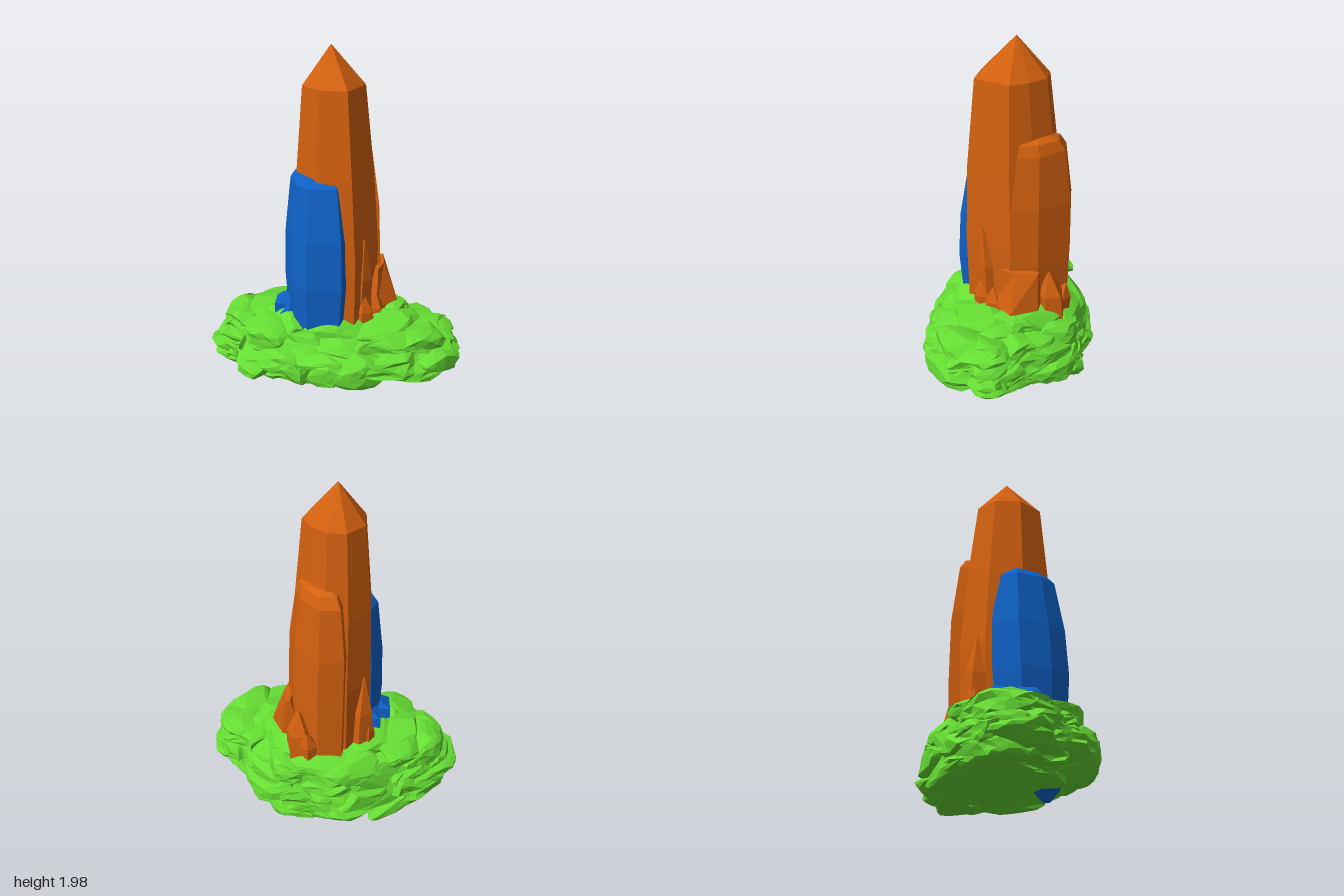
import * as THREE from 'three';

const material = (color) => new THREE.MeshStandardMaterial({ color, flatShading: true });
const orange = material(0xd2600f), blue = material(0x0f62c8), green = material(0x66dd33);

// Small seeded generator
let seed = 11;
const rand = () => {
  seed = (seed * 16807) % 2147483647;
  return seed / 2147483647;
};
const spread = (a) => (rand() * 2 - 1) * a;

// Skins closed loops from bottom to top and caps both ends
function loft(name, loops, mat) {
  const pos = [];
  const tri = (...pts) => pts.forEach((p) => pos.push(p.x, p.y, p.z));
  const centre = (loop) => loop.reduce((s, p) => s.add(p), new THREE.Vector3()).divideScalar(loop.length);
  const n = loops[0].length, last = loops[loops.length - 1];
  const c0 = centre(loops[0]), c1 = centre(last);
  for (let i = 0; i < n; i++) {
    const j = (i + 1) % n;
    for (let k = 0; k < loops.length - 1; k++) {
      const lo = loops[k], up = loops[k + 1];
      tri(lo[i], up[i], lo[j]);
      tri(lo[j], up[i], up[j]);
    }
    tri(c0, loops[0][i], loops[0][j]);
    tri(c1, last[j], last[i]);
  }
  const geo = new THREE.BufferGeometry();
  geo.setAttribute('position', new THREE.Float32BufferAttribute(pos, 3));
  geo.computeVertexNormals();
  const mesh = new THREE.Mesh(geo, mat);
  mesh.name = name;
  return mesh;
}

// Crystal: a polygon of [x, z] scaled about a centre; levels are [y, scale, dx, dz, zScale]
function crystal(name, mat, poly, [cx, cz], levels) {
  const loops = levels.map(([y, s, dx = 0, dz = 0, sz = s]) => poly.map(([x, z]) =>
    new THREE.Vector3(cx + dx + (x - cx) * s, y, cz + dz + (z - cz) * sz)));
  return loft(name, loops, mat);
}

// Small pointed splinter with a leaning tip
function shard(mat, x, z, r, top, tipX, tipZ) {
  const poly = Array.from({ length: 5 }, (_, i) => {
    const a = (i / 5) * Math.PI * 2 + x * 9;
    return [x + r * Math.cos(a), z + r * Math.sin(a)];
  });
  const mid = 0.4 + (top - 0.4) * 0.55;
  return crystal('shard', mat, poly, [x, z], [
    [0.38, 1], [mid, 0.85, (tipX - x) * 0.4, (tipZ - z) * 0.4], [top, 0.08, tipX - x, tipZ - z]]);
}

// Flattened boulder cut by random planes
function stone(size) {
  const geo = new THREE.IcosahedronGeometry(1, 2);
  const cuts = Array.from({ length: 10 }, () => ({
    d: new THREE.Vector3(spread(1), spread(1), spread(1)).normalize(), c: 0.48 + rand() * 0.32 }));
  const p = geo.attributes.position, v = new THREE.Vector3();
  for (let i = 0; i < p.count; i++) {
    v.fromBufferAttribute(p, i);
    for (const { d, c } of cuts) {
      const over = v.dot(d) - c;
      if (over > 0) v.addScaledVector(d, -over);
    }
    p.setXYZ(i, v.x * size[0], v.y * size[1], v.z * size[2]);
  }
  return geo;
}

function rockBase() {
  const group = new THREE.Group();
  group.name = 'rockBase';
  const outline = new THREE.CatmullRomCurve3([
    [0.75, 0.04], [0.68, 0.12], [0.72, 0.25], [0.5, 0.43], [0.25, 0.45], [0.12, 0.48], [-0.25, 0.45],
    [-0.54, 0.33], [-0.55, 0.23], [-0.71, 0.12], [-0.76, 0], [-0.73, -0.13], [-0.5, -0.3], [-0.22, -0.43],
    [-0.03, -0.49], [0.12, -0.43], [0.32, -0.44], [0.5, -0.3], [0.54, -0.18], [0.68, -0.06],
  ].map(([x, z]) => new THREE.Vector3(x, 0, z)), true);

  // Outline radius by direction, and the height of the underside
  const bins = 72, radii = [];
  const bin = (x, z) => Math.floor((Math.atan2(z, x) / (Math.PI * 2) + 1) * bins) % bins;
  outline.getPoints(600).forEach((p) => { radii[bin(p.x, p.z)] = p.length(); });
  const floor = (x, z) => Math.max(0.01, 0.06 + 0.1 * z + 0.1 * Math.max(0, Math.abs(x) - 0.3));

  // Solid core: [y, scale, dz, slope along z]
  const ring = outline.getPoints(28).slice(0, 28);
  const levels = [[0.055, 0.3, -0.06, 0.1], [0.085, 0.66, -0.05, 0.12], [0.14, 0.84, -0.04, 0.1], [0.21, 0.9, 0, 0.05],
    [0.31, 0.87, 0.01, 0], [0.38, 0.8, 0, 0], [0.43, 0.6, 0, 0], [0.45, 0.3, 0, 0]];
  group.add(loft('rockCore', levels.map(([y, s, dz, slope]) => ring.map((p) => {
    const k = s * (1 + spread(0.03));
    return new THREE.Vector3(p.x * k, y + slope * p.z * k + spread(0.01), p.z * k + dz);
  })), green));

  // Tiers of overlapping stones, each kept inside its scaled outline
  const tiers = [
    { y: 0.105, k: 0.74, count: 9, dz: -0.05, lift: 0.1, tilt: 0.12 },
    { y: 0.15, k: 0.91, count: 14, dz: -0.05, lift: 0.13, tilt: 0.2 },
    { y: 0.23, k: 1, count: 17, dz: 0.01, lift: 0.06, tilt: 0 },
    { y: 0.3, k: 0.95, count: 16, dz: 0.02, lift: 0, tilt: -0.08 },
    { y: 0.375, k: 0.89, count: 14, dz: 0, lift: 0, tilt: -0.15 },
    { y: 0.42, k: 0.7, count: 10, dz: 0, lift: 0, tilt: -0.1 },
  ];
  const v = new THREE.Vector3();
  for (const { y, k, count, dz, lift, tilt } of tiers) {
    for (let i = 0; i < count; i++) {
      const p = outline.getPoint((i + 0.5 * rand()) / count);
      const r = p.length(), s = (r * k - 0.125 + spread(0.015)) / r;
      const geo = stone([0.175, 0.075 + rand() * 0.02, 0.2 + rand() * 0.07]);
      geo.applyMatrix4(new THREE.Matrix4().makeRotationFromEuler(
        new THREE.Euler(spread(0.16), -Math.atan2(p.z, p.x) + spread(0.3), tilt + spread(0.1), 'YXZ')));
      geo.translate(p.x * s, y + 0.04 * p.x * (y < 0.35 ? 1 : 0) + lift * p.z + spread(0.012), p.z * s);
      const pos = geo.attributes.position;
      const limit = k * (1 + spread(0.02));
      for (let n = 0; n < pos.count; n++) {
        v.fromBufferAttribute(pos, n);
        const pull = Math.min(1, limit * radii[bin(v.x, v.z)] / Math.hypot(v.x, v.z));
        const x = v.x * pull, z = v.z * pull + dz;
        pos.setXYZ(n, x, THREE.MathUtils.clamp(v.y, floor(x, z), 0.5), z);
      }
      geo.computeVertexNormals();
      const mesh = new THREE.Mesh(geo, green);
      mesh.name = 'stone';
      group.add(mesh);
    }
  }
  return group;
}

export function createModel() {
  seed = 11;
  const model = new THREE.Group();
  model.name = 'crystalCluster';
  model.add(rockBase());

  // Tall central crystal with a pointed cap
  model.add(crystal('mainCrystal', orange,
    [[0.24, -0.03], [0.14, 0.245], [-0.07, 0.24], [-0.22, 0.075], [-0.225, -0.13], [-0.1, -0.27], [0.04, -0.27], [0.16, -0.16]],
    [0, 0], [[0.1, 0.85], [0.45, 0.97], [0.85, 1], [1.3, 0.92, -0.01, 0.01], [1.79, 0.73, -0.015, 0.015],
      [2, 0.005, -0.03, -0.01]]));

  // Shorter crystal against its back, leaning inward at the top
  model.add(crystal('backCrystal', orange,
    [[0.21, -0.18], [0.255, -0.03], [0.05, 0], [-0.1, -0.15], [-0.08, -0.32], [0.06, -0.335]],
    [0.08, -0.15], [[0.35, 0.95], [0.75, 1], [1.1, 0.98, -0.01], [1.4, 0.78, -0.02, 0], [1.46, 0.64, -0.02, 0.01],
      [1.48, 0.35, -0.02, 0]]));

  // Blue crystal at the front, its root showing under the rock
  model.add(crystal('frontCrystal', blue,
    [[0.1, 0.2], [0.075, 0.31], [-0.12, 0.33], [-0.22, 0.23], [-0.29, 0.06], [-0.23, -0.09], [0, 0]],
    [-0.1, 0.14], [[0.035, 0.12, 0.1, 0.06], [0.1, 0.4, 0.1, 0.06], [0.45, 0.91], [0.7, 1], [0.97, 0.97, 0, -0.01],
      [1.27, 0.8, 0, -0.03], [1.31, 0.66, 0, -0.04]]));

  // Wedge beside the tower
  model.add(crystal('sideWedge', orange,
    [[0.36, -0.05], [0.25, 0.07], [0.14, 0], [0.16, -0.2], [0.28, -0.2]],
    [0.25, -0.07], [[0.38, 1], [0.5, 0.98], [0.73, 0.22, 0, -0.01, 0.85]]));

  // Splinters round the foot: [material, x, z, radius, top, tipX, tipZ]
  const shards = new THREE.Group();
  shards.name = 'shards';
  [
    [orange, 0.18, 0.13, 0.07, 0.61, 0.18, 0.15],
    [orange, 0.22, 0.06, 0.07, 0.6, 0.24, 0.07],
    [orange, 0.15, 0.1, 0.07, 0.95, 0.18, 0.14],
    [orange, 0.17, -0.26, 0.09, 0.7, 0.18, -0.24],
    [orange, 0.11, -0.28, 0.07, 0.6, 0.12, -0.33],
    [orange, -0.17, -0.17, 0.08, 0.9, -0.19, -0.17],
    [orange, -0.21, -0.17, 0.05, 0.65, -0.22, -0.19],
    [blue, -0.26, 0.16, 0.06, 0.54, -0.25, 0.16],
  ].forEach((s) => shards.add(shard(...s)));
  model.add(shards);

  // Stubby blue blocks on the left
  [[-0.275, 0.09, 0.57], [-0.22, -0.05, 0.6]].forEach(([x, z, top]) => model.add(crystal('blueBlock', blue,
    [[x + 0.07, z - 0.06], [x + 0.06, z + 0.06], [x - 0.06, z + 0.07], [x - 0.07, z - 0.05]],
    [x, z], [[0.38, 1], [top - 0.04, 1], [top, 0.6, 0.03, 0]])));

  return model;
}
